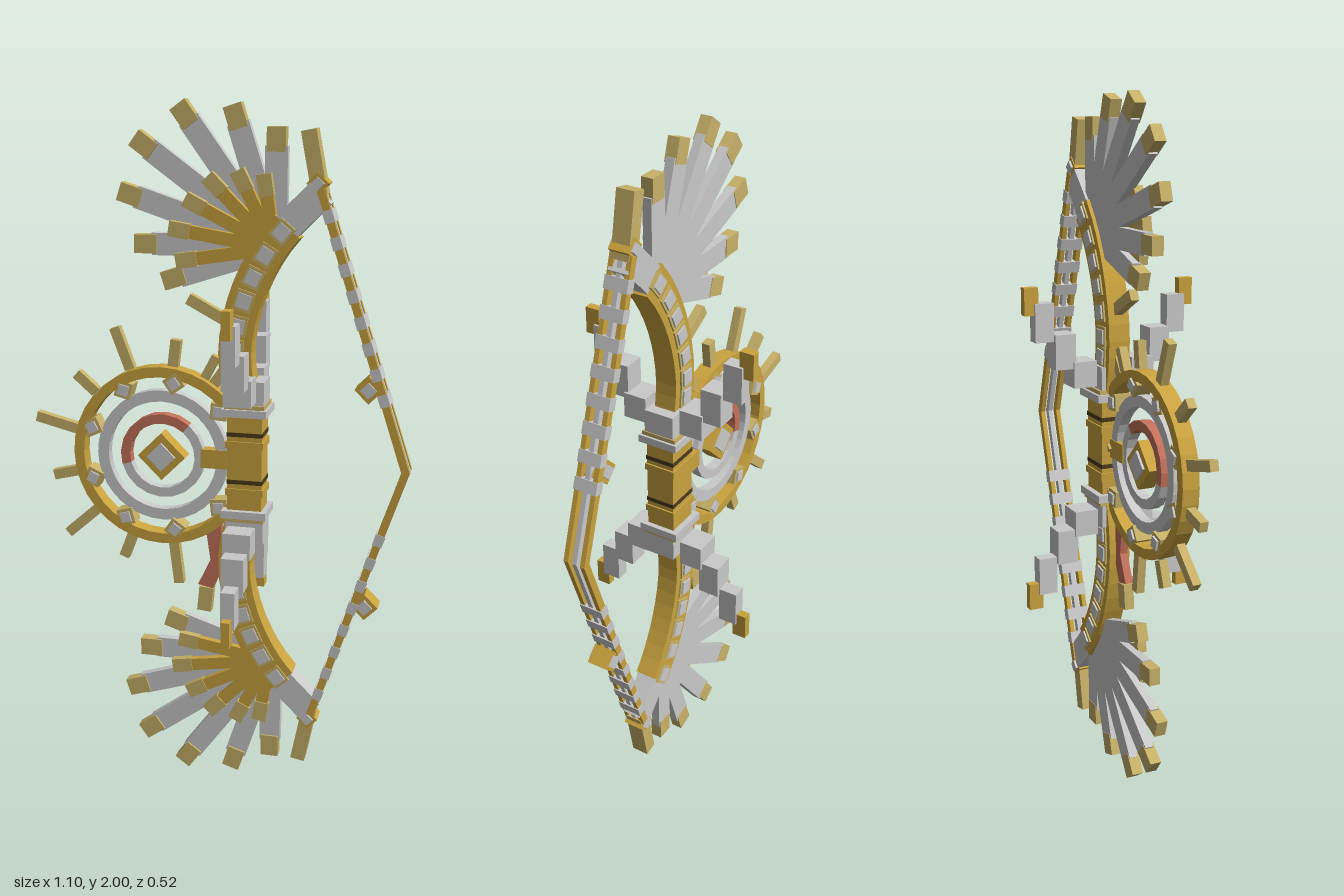
import * as THREE from 'three';

const mat = (name, color) => {
  const m = new THREE.MeshStandardMaterial({ color });
  m.name = name;
  return m;
};

export function createModel() {
  const gold = mat('gold', 0xcba43f);
  const paleGold = mat('pale gold', 0xc8b268);
  const silver = mat('silver', 0xcacaca);
  const red = mat('coral red', 0xc4725a);
  const dark = mat('dark bronze', 0x4a3a1c);
  const model = new THREE.Group();

  const add = (name, geo, material, x = 0, y = 0, z = 0, rot = 0) => {
    const mesh = new THREE.Mesh(geo, material);
    mesh.name = name;
    mesh.position.set(x, y, z);
    mesh.rotation.z = rot;
    model.add(mesh);
    return mesh;
  };
  const box = (name, m, w, h, d, x, y, z = 0, rot = 0) =>
    add(name, new THREE.BoxGeometry(w, h, d), m, x, y, z, rot);
  // Bar lying along a direction, between two distances from an origin
  const ray = (name, m, ox, oy, angle, r0, r1, width, depth, z = 0) => {
    const r = (r0 + r1) / 2;
    return box(name, m, r1 - r0, width, depth, ox + r * Math.cos(angle), oy + r * Math.sin(angle), z, angle);
  };
  const plate = (name, m, pts, depth, z = 0) => {
    const shape = new THREE.Shape(pts.map(p => new THREE.Vector2(p[0], p[1])));
    const geo = new THREE.ExtrudeGeometry(shape, { depth, bevelEnabled: false });
    geo.translate(0, 0, z - depth / 2);
    return add(name, geo, m);
  };
  // Flat ring or part of a ring
  const ring = (name, m, ro, ri, depth, a0 = 0, a1 = 360, n = 36) => {
    const shape = new THREE.Shape();
    const at = (r, k) => {
      const a = THREE.MathUtils.degToRad(a0 + (a1 - a0) * k / n);
      return new THREE.Vector2(r * Math.cos(a), r * Math.sin(a));
    };
    const outer = [], inner = [];
    for (let k = 0; k <= n; k++) { outer.push(at(ro, k)); inner.push(at(ri, k)); }
    if (a1 - a0 === 360) {
      shape.setFromPoints(outer.slice(0, n));
      shape.holes.push(new THREE.Path(inner.slice(0, n)));
    } else shape.setFromPoints([...outer, ...inner.reverse()]);
    const geo = new THREE.ExtrudeGeometry(shape, { depth, bevelEnabled: false });
    geo.translate(0, 0, -depth / 2);
    return add(name, geo, m, CX, 1);
  };
  const CX = -0.165;
  const rad = THREE.MathUtils.degToRad;
  const diamond = (name, x, y, size, depth, rot = Math.PI / 4) => {
    box(name + 'Frame', gold, size, size, depth, x, y, 0, rot);
    box(name + 'Gem', silver, size * 0.6, size * 0.6, depth + 0.014, x, y, 0, rot);
  };

  // Sun disc: concentric rings, studs, rays and central gem
  ring('outerRing', gold, 0.265, 0.235, 0.05);
  ring('middleRing', silver, 0.195, 0.162, 0.03);
  ring('innerRingRed', red, 0.125, 0.097, 0.032, 50, 195, 8);
  ring('innerRingSilver', silver, 0.125, 0.097, 0.03, 195, 410, 12);
  diamond('sunGem', CX, 1, 0.1, 0.05);
  for (let k = 0; k < 9; k++) {
    const a = rad(40 * k), x = CX + 0.222 * Math.cos(a), y = 1 + 0.222 * Math.sin(a);
    box('ringStud', paleGold, 0.048, 0.048, 0.05, x, y, 0, a + Math.PI / 4);
    box('ringStudCap', silver, 0.03, 0.03, 0.062, x, y, 0, a + Math.PI / 4);
  }
  for (let k = -4; k <= 4; k++) {
    ray('sunRay', paleGold, CX, 1, rad(166 + k * 27.7), 0.268, k % 2 ? 0.345 : 0.395, 0.03, 0.025);
  }
  ray('sunRay', paleGold, CX, 1, rad(62), 0.268, 0.34, 0.025, 0.025);
  box('discBracket', gold, 0.1, 0.055, 0.035, 0.0, 1);

  // Grip with dark bindings
  box('grip', gold, 0.1, 0.28, 0.085, 0.085, 1);
  for (const y of [1.085, 0.945]) box('gripBinding', dark, 0.104, 0.012, 0.089, 0.085, y);
  for (const y of [1.055, 0.915]) box('gripBand', gold, 0.11, 0.02, 0.094, 0.085, y);

  // Limb centreline measured from the grip: x, height, half width
  const spine = new THREE.CatmullRomCurve3([
    [0.08, 0.15], [0.058, 0.25], [0.054, 0.34], [0.075, 0.45], [0.115, 0.55], [0.175, 0.645], [0.285, 0.76],
  ].map(p => new THREE.Vector3(p[0], p[1], 0)));
  const limbOutline = (t0, t1, half, s) => {
    const left = [], right = [];
    for (let i = 0; i <= 12; i++) {
      const t = t0 + (t1 - t0) * i / 12, p = spine.getPoint(t), d = spine.getTangent(t);
      left.push([p.x - d.y * half, 1 + s * (p.y + d.x * half)]);
      right.push([p.x + d.y * half, 1 + s * (p.y - d.x * half)]);
    }
    return [...left, ...right.reverse()];
  };

  for (const s of [1, -1]) {
    const Y = h => 1 + s * h;

    // Collar at the end of the grip
    box('collar', silver, 0.13, 0.022, 0.12, 0.085, Y(0.15));
    box('collarTrim', paleGold, 0.115, 0.012, 0.105, 0.085, Y(0.167));
    box('collarCap', silver, 0.11, 0.07, 0.09, 0.085, Y(0.205));

    // Curved limb, silver end and studs
    plate('limb', gold, limbOutline(0, 0.87, 0.047, s), 0.064);
    plate('limbEnd', silver, limbOutline(0.84, 1, 0.04, s), 0.058);
    for (let k = 0; k < 7; k++) {
      const t = 0.2 + k * 0.108, p = spine.getPoint(t), d = spine.getTangent(t);
      const a = s * Math.atan2(d.y, d.x);
      box('limbStudBase', paleGold, 0.058, 0.052, 0.074, p.x, Y(p.y), 0, a);
      box('limbStud', silver, 0.04, 0.038, 0.084, p.x, Y(p.y), 0, a);
    }
    ray('limbTip', paleGold, 0.282, Y(0.755), s * rad(101), 0, 0.172, 0.042, 0.052);
    diamond('stringAnchor', 0.277, Y(0.785), 0.044, 0.058);

    // Stepped prongs to the front and back
    for (const f of [1, -1]) {
      box('prongRoot', silver, 0.08, 0.075, 0.07, 0.08, Y(0.222), f * 0.09);
      box('prongMiddle', silver, 0.065, 0.1, 0.062, 0.08, Y(0.29), f * 0.147);
      box('prongEnd', silver, 0.04, 0.11, 0.056, 0.08, Y(0.375), f * 0.205);
      box('prongTip', gold, 0.025, 0.078, 0.042, 0.08, Y(0.436), f * 0.241);
    }

    // Fan of long silver feathers with gold tips, and a short layer in front
    const ox = 0.16, oy = Y(0.61);
    [0.32, 0.395, 0.465, 0.49, 0.465, 0.4, 0.335].forEach((r, k) => {
      const a = s * rad(90 + 18 * k);
      ray('feather', silver, ox, oy, a, 0, r - 0.05, 0.062, 0.026, -0.008);
      ray('featherTip', paleGold, ox, oy, a, r - 0.065, r, 0.052, 0.034, -0.006);
    });
    [0.2, 0.23, 0.265, 0.28, 0.3, 0.28].forEach((r, k) => {
      const a = s * rad(99 + 18 * k);
      ray('shortFeather', gold, ox, oy, a, 0, r - 0.05, 0.036, 0.022, 0.014);
      ray('shortFeatherTip', paleGold, ox, oy, a, r - 0.06, r, 0.042, 0.028, 0.014);
    });

    // Three-strand string with bindings and a charm
    const top = [0.285, Y(0.77)], mid = [0.54, 1];
    const dx = mid[0] - top[0], dy = mid[1] - top[1];
    const len = Math.hypot(dx, dy), a = Math.atan2(dy, dx);
    for (const z of [-0.026, 0, 0.026]) {
      ray('stringStrand', z ? gold : silver, top[0], top[1], a, 0, len + 0.005, z ? 0.022 : 0.02, 0.014, z);
    }
    for (let k = 1; k <= 8; k++) {
      const t = k * 0.092;
      box('stringBinding', silver, 0.035, 0.028, 0.07, top[0] + dx * t, top[1] + dy * t, 0, a);
    }
    diamond('stringCharm', s > 0 ? 0.43 : 0.437, Y(s > 0 ? 0.23 : 0.41), 0.055, 0.06);
  }

  // Thorn above the disc, and the ribbon with its weight below
  ray('limbThorn', paleGold, 0.02, 1.405, rad(152), 0, 0.12, 0.032, 0.025);
  plate('ribbon', red, [[0.01, 0.8], [-0.035, 0.78], [-0.022, 0.69], [-0.06, 0.61], [-0.015, 0.6], [0.012, 0.66]], 0.024);
  box('ribbonWeight', paleGold, 0.042, 0.075, 0.03, -0.038, 0.565, 0, -0.1);

  return model;
}
